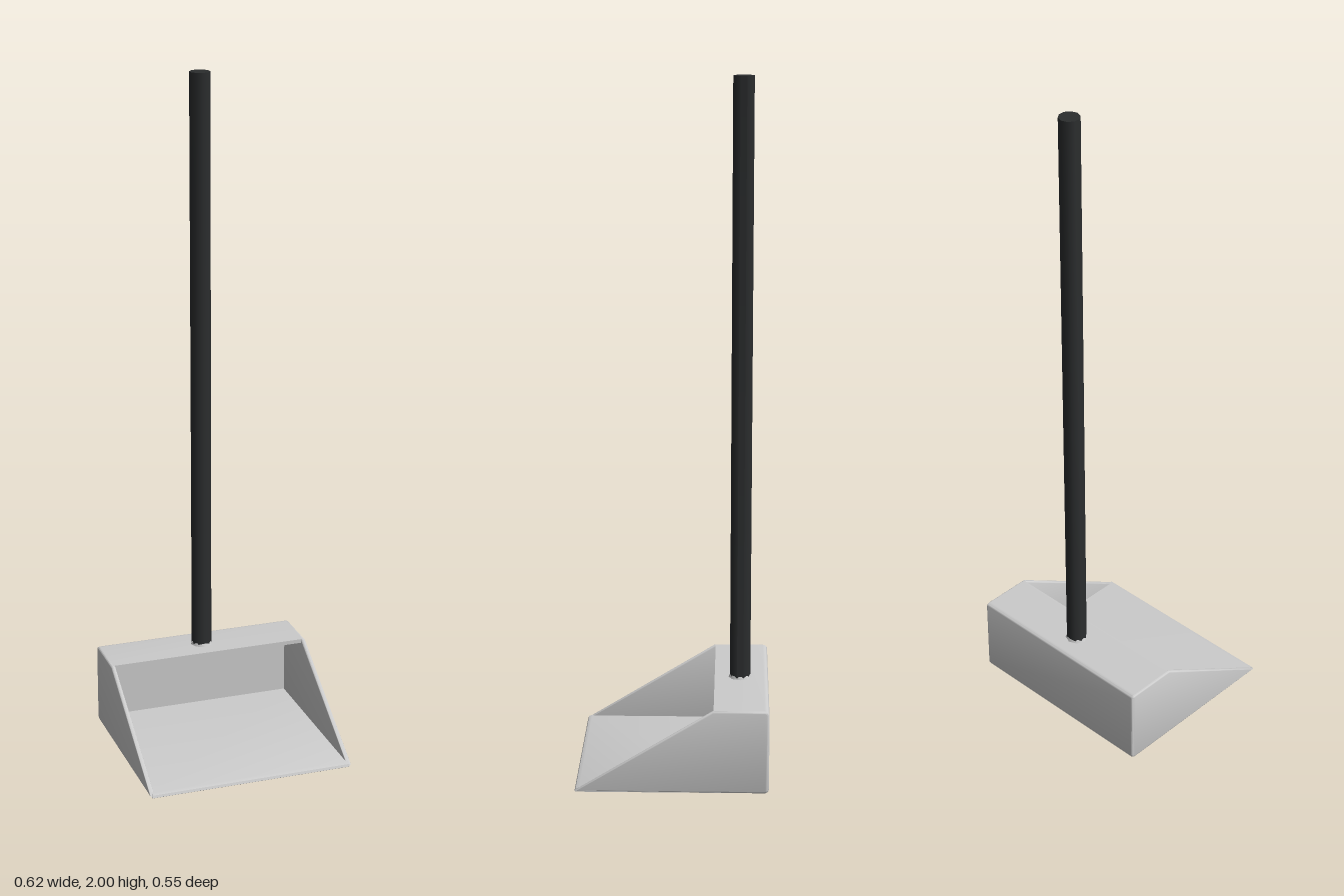
import * as THREE from 'three';
import { toCreasedNormals } from 'three/addons/utils/BufferGeometryUtils.js';

const grey = new THREE.MeshStandardMaterial({ color: 0xcccccc });
const dark = new THREE.MeshStandardMaterial({ color: 0x2b2d2e });

const HALF = 0.31;   // half width of the pan
const EDGE = 0.006;  // edge rounding
const POLE_Z = -0.195;

// Extrude a (z, y) profile along x, centred on x = 0
function extrudeAcross(shape, depth, options) {
  const geo = new THREE.ExtrudeGeometry(shape, { depth, curveSegments: 4, ...options });
  geo.translate(0, 0, -depth / 2);
  geo.rotateY(-Math.PI / 2);
  return toCreasedNormals(geo, 0.75);
}

function addMesh(group, name, geometry, material, x = 0, y = 0, z = 0) {
  const mesh = new THREE.Mesh(geometry, material);
  mesh.name = name;
  mesh.position.set(x, y, z);
  group.add(mesh);
}

// Wedge outline of a side wall, inset by the edge rounding
function sideShape() {
  const s = new THREE.Shape();
  s.moveTo(0.266, 0.007);
  s.lineTo(-0.119, 0.239);
  s.lineTo(-0.264, 0.239);
  s.quadraticCurveTo(-0.272, 0.239, -0.272, 0.231);
  s.lineTo(-0.272, 0.015);
  s.quadraticCurveTo(-0.272, 0.007, -0.264, 0.007);
  s.closePath();
  return s;
}

// Folded sheet forming floor, back and top
function trayShape() {
  const s = new THREE.Shape();
  s.moveTo(0.275, 0.002);
  s.lineTo(0.272, 0.009);
  s.lineTo(0.262, 0.013);
  s.lineTo(-0.265, 0.013);
  s.lineTo(-0.265, 0.233);
  s.lineTo(-0.12, 0.233);
  s.lineTo(-0.12, 0.245);
  s.lineTo(-0.264, 0.245);
  s.quadraticCurveTo(-0.278, 0.245, -0.278, 0.231);
  s.lineTo(-0.278, 0.015);
  s.quadraticCurveTo(-0.278, 0.001, -0.264, 0.001);
  s.lineTo(0.272, 0);
  s.closePath();
  return s;
}

export function createModel() {
  const model = new THREE.Group();
  model.name = 'dustpan';

  // Pan
  const pan = new THREE.Group();
  pan.name = 'pan';
  model.add(pan);
  addMesh(pan, 'tray', extrudeAcross(trayShape(), 2 * (HALF - EDGE), { bevelEnabled: false }), grey);
  const side = extrudeAcross(sideShape(), 0.001, {
    bevelThickness: EDGE, bevelSize: EDGE, bevelSegments: 3,
  });
  for (const [name, sign] of [['leftWall', 1], ['rightWall', -1]]) {
    addMesh(pan, name, side, grey, sign * (HALF - EDGE - 0.0005));
  }

  // Upright handle with its socket ring
  addMesh(model, 'socketRing', new THREE.CylinderGeometry(0.03, 0.036, 0.014, 8), grey, 0, 0.247, POLE_Z);
  const pole = toCreasedNormals(new THREE.CylinderGeometry(0.03, 0.03, 1.76, 10), 0.75);
  addMesh(model, 'handle', pole, dark, 0, 1.12, POLE_Z);

  return model;
}
